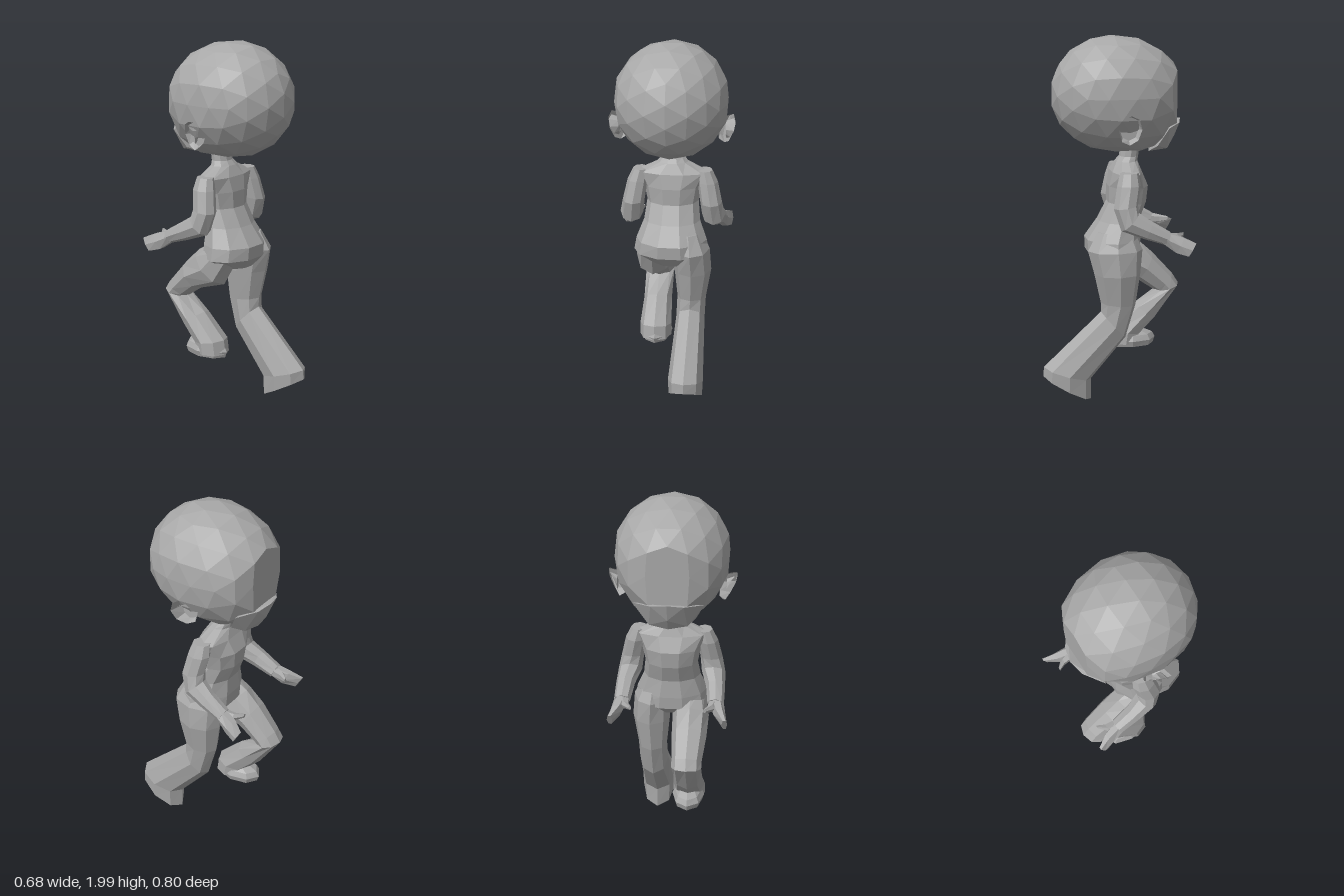
import * as THREE from 'three';
import { ConvexGeometry } from 'three/addons/geometries/ConvexGeometry.js';

const skin = new THREE.MeshStandardMaterial({ color: 0xa8a8a8 });
skin.name = 'plain grey';

// Faceted skin over a list of closed rings of points, with both ends capped
function skinRings(rings) {
  const pos = [];
  const tri = (a, b, c) => pos.push(...a, ...b, ...c);
  const n = rings[0].length;
  const mid = (r) => [0, 1, 2].map((k) => r.reduce((s, p) => s + p[k], 0) / n);
  const first = rings[0], last = rings[rings.length - 1];
  for (let j = 0; j < n; j++) {
    const k = (j + 1) % n;
    for (let i = 0; i + 1 < rings.length; i++) {
      const a = rings[i], b = rings[i + 1];
      tri(a[j], b[j], a[k]);
      tri(a[k], b[j], b[k]);
    }
    tri(first[j], first[k], mid(first));
    tri(last[k], last[j], mid(last));
  }
  const g = new THREE.BufferGeometry();
  g.setAttribute('position', new THREE.Float32BufferAttribute(pos, 3));
  g.computeVertexNormals();
  return g;
}

// Limb from elliptical sections [x, y, z, half width, half depth, heading];
// heading 0 runs up, 90 forward (-z), 180 down
function limb(sections, n = 8) {
  return skinRings(sections.map(([x, y, z, rx, rd, deg = 0]) => {
    const a = THREE.MathUtils.degToRad(deg);
    return Array.from({ length: n }, (_, j) => {
      const t = (j / n) * Math.PI * 2, d = rd * Math.sin(t);
      return [x + rx * Math.cos(t), y + d * Math.sin(a), z + d * Math.cos(a)];
    });
  }));
}

// Copy reflected in x, with corner order restored
function mirrored(geometry) {
  const g = geometry.clone().scale(-1, 1, 1);
  const p = g.attributes.position;
  const u = new THREE.Vector3(), v = new THREE.Vector3();
  for (let i = 0; i < p.count; i += 3) {
    u.fromBufferAttribute(p, i + 1);
    v.fromBufferAttribute(p, i + 2);
    p.setXYZ(i + 1, v.x, v.y, v.z);
    p.setXYZ(i + 2, u.x, u.y, u.z);
  }
  g.computeVertexNormals();
  return g;
}

// Faceted ball with a flattened face, fuller sides and a lowered jaw
function headGeometry() {
  const g = new THREE.IcosahedronGeometry(1, 2);
  const p = g.attributes.position;
  for (let i = 0; i < p.count; i++) {
    const x = p.getX(i), y = p.getY(i), z = p.getZ(i);
    const depth = z > 0 ? 0.336 : y > 0 ? 0.39 : 0.39 - 0.03 * y;
    const drop = z < 0 && y < 0 ? 0.08 * z * y : 0;
    p.setXYZ(i, THREE.MathUtils.clamp(x * 0.312, -0.297, 0.297),
      1.69 + y * 0.312 - drop, Math.max(-0.332, z * depth));
  }
  g.computeVertexNormals();
  return g;
}

// Cupped ear: narrow root, flared rim, sunken middle
function earGeometry() {
  const ring = (x, scale, flare) => Array.from({ length: 8 }, (_, j) => {
    const t = (j / 8) * Math.PI * 2;
    const c = Math.cos(t), s = Math.sin(t);
    return [x + flare * (c + 0.9 * s), 1.53 + 0.08 * scale * s, -0.043 + 0.066 * scale * c];
  });
  return skinRings([
    ring(0.25, 0.75, 0), ring(0.304, 1, 0.026), ring(0.31, 0.7, 0.022), ring(0.288, 0.5, 0),
  ].map((r) => r.reverse()));
}

export function createModel() {
  const model = new THREE.Group();
  model.name = 'runningFigure';
  const add = (name, geometry) => {
    const m = new THREE.Mesh(geometry, skin);
    m.name = name;
    model.add(m);
  };
  const addPair = (name, geometry) => {
    add('left ' + name, geometry);
    add('right ' + name, mirrored(geometry));
  };

  // Head, with the shelf of the mouth and jaw
  add('head', headGeometry());
  const jaw = [[0, 1.55, -0.372], [0, 1.455, -0.342], [0, 1.385, -0.295], [0, 1.37, -0.2]];
  for (const s of [-1, 1]) {
    jaw.push([s * 0.085, 1.535, -0.35], [s * 0.185, 1.52, -0.275], [s * 0.06, 1.53, -0.3],
      [s * 0.1, 1.4, -0.28], [s * 0.14, 1.42, -0.22]);
  }
  add('jaw', new ConvexGeometry(jaw.map((p) => new THREE.Vector3(...p))));
  addPair('ear', earGeometry());

  // Hips, waist, chest and neck
  add('torso', limb([
    [0, 0.77, 0.01, 0.1, 0.09], [0, 0.83, 0.002, 0.207, 0.15], [0, 0.9, 0.002, 0.195, 0.154],
    [0, 1.0, -0.03, 0.155, 0.115], [0, 1.1, -0.075, 0.142, 0.108], [0, 1.19, -0.08, 0.16, 0.112],
    [0, 1.27, -0.07, 0.205, 0.085], [0, 1.325, -0.075, 0.085, 0.06],
    [0, 1.35, -0.088, 0.064, 0.052], [0, 1.43, -0.1, 0.064, 0.052],
  ], 10));

  // Arms bent forward at the elbow
  addPair('arm', limb([
    [0.175, 1.285, -0.06, 0.042, 0.05, 180], [0.192, 1.22, -0.055, 0.056, 0.064, 180],
    [0.213, 1.11, -0.035, 0.06, 0.066, 172], [0.226, 1.03, -0.055, 0.064, 0.067, 135],
    [0.243, 0.985, -0.15, 0.051, 0.052, 112], [0.25, 0.938, -0.255, 0.044, 0.038, 112],
  ]));
  addPair('hand', limb([
    [0.252, 0.942, -0.24, 0.04, 0.036, 112], [0.274, 0.905, -0.315, 0.032, 0.052, 118],
    [0.303, 0.882, -0.378, 0.015, 0.046, 120],
  ], 6));
  addPair('thumb', limb([
    [0.247, 0.94, -0.235, 0.035, 0.03, 90], [0.228, 0.94, -0.31, 0.022, 0.022, 90],
    [0.197, 0.945, -0.352, 0.009, 0.012, 90],
  ], 5));

  // Standing leg trailing behind, flared at the hem
  add('left leg', limb([
    [0.1, 0.95, 0, 0.06, 0.1, 180], [0.112, 0.85, 0.004, 0.1, 0.15, 180],
    [0.118, 0.72, -0.007, 0.103, 0.127, 180],
    [0.112, 0.55, -0.012, 0.08, 0.097, 185], [0.108, 0.43, 0.015, 0.08, 0.102, 228],
    [0.105, 0.165, 0.27, 0.097, 0.137, 197], [0.105, 0.078, 0.272, 0.093, 0.15, 209],
  ]));

  // Raised leg with bent knee
  add('right leg', limb([
    [-0.1, 0.88, 0.02, 0.08, 0.09, 165], [-0.105, 0.765, -0.075, 0.1, 0.122, 135],
    [-0.105, 0.7, -0.2, 0.095, 0.088, 120],
    [-0.1, 0.605, -0.305, 0.082, 0.07, 140], [-0.1, 0.575, -0.33, 0.082, 0.067, 165],
    [-0.1, 0.44, -0.2, 0.08, 0.077, 215], [-0.1, 0.33, -0.09, 0.09, 0.094, 190],
    [-0.1, 0.265, -0.08, 0.09, 0.095, 180],
  ]));
  add('right foot', limb([
    [-0.098, 0.247, -0.12, 0.08, 0.13], [-0.098, 0.28, -0.12, 0.09, 0.142],
    [-0.098, 0.31, -0.12, 0.075, 0.125], [-0.098, 0.335, -0.1, 0.05, 0.09],
  ]));

  return model;
}
